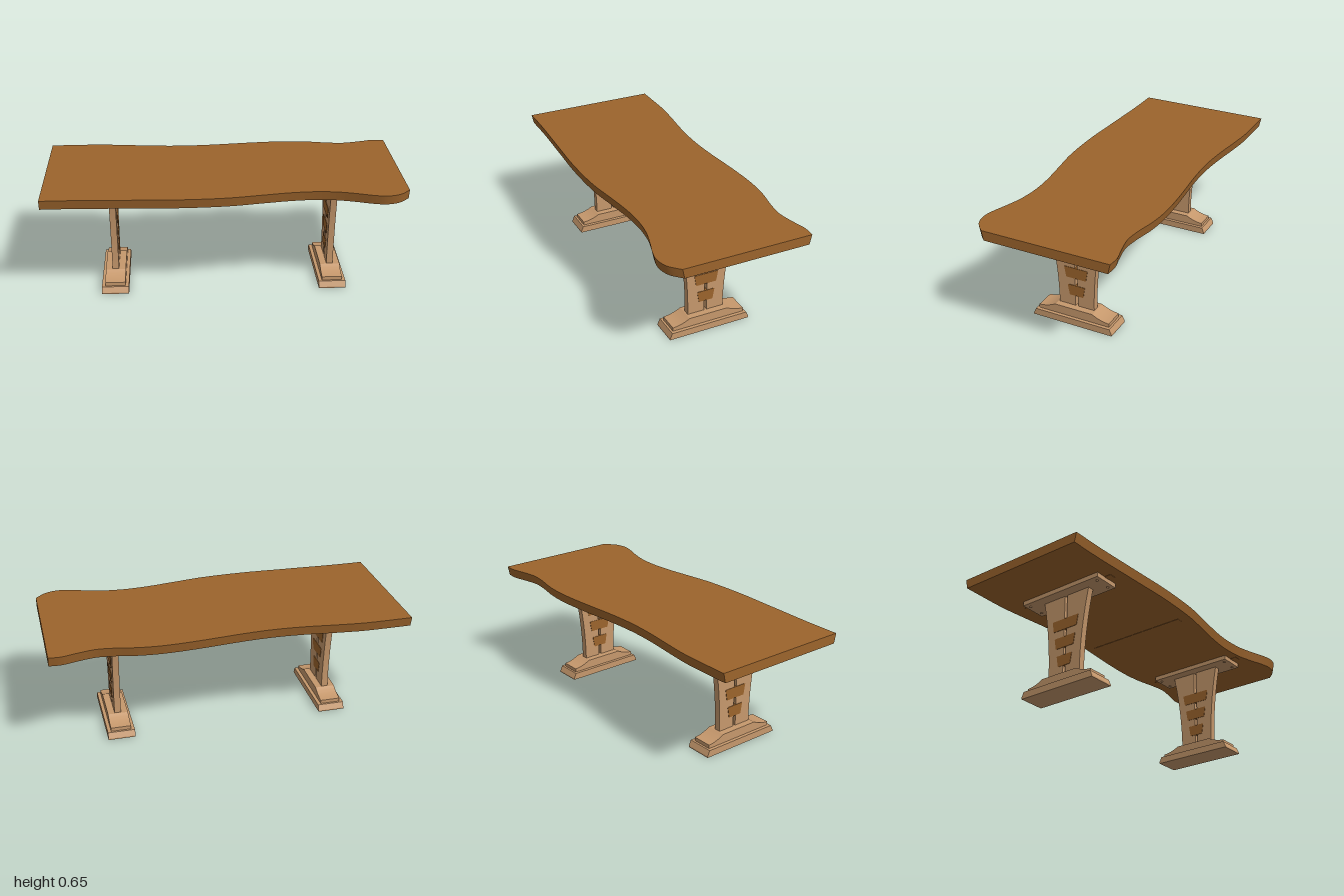
import * as THREE from 'three';
import { toCreasedNormals } from 'three/addons/utils/BufferGeometryUtils.js';

const paleWood = new THREE.MeshStandardMaterial({ name: 'paleWood', color: 0xc6986c });
const brownWood = new THREE.MeshStandardMaterial({ name: 'brownWood', color: 0x9c642c });

const V = (x, y) => new THREE.Vector2(x, y);

function addMesh(parent, name, geometry, material) {
  const mesh = new THREE.Mesh(geometry, material);
  mesh.name = name;
  parent.add(mesh);
  return mesh;
}

// Extrudes a side profile (z, y) along x, centred on x = 0
function extrudeAlongX(points, width) {
  const geo = new THREE.ExtrudeGeometry(new THREE.Shape(points), { depth: width, bevelEnabled: false });
  geo.translate(0, 0, -width / 2).rotateY(-Math.PI / 2);
  return toCreasedNormals(geo, 0.4);
}

// Completes half a profile by mirroring it
const mirrored = (half) => [...half, ...half.map((p) => V(-p.x, p.y)).reverse()];

// Wavy slab whose long edges slope inward towards the underside
function tabletopGeometry() {
  const front = [[-1, 0.375], [-0.8, 0.376], [-0.5, 0.388], [-0.25, 0.397], [0, 0.389], [0.2, 0.361],
    [0.35, 0.34], [0.48, 0.333], [0.6, 0.343], [0.7, 0.368], [0.8, 0.4], [0.87, 0.41], [0.94, 0.391], [1, 0.337]];
  const back = [[-1, -0.415], [-0.75, -0.415], [-0.6, -0.403], [-0.4, -0.38], [-0.23, -0.37], [-0.05, -0.376],
    [0.2, -0.398], [0.38, -0.406], [0.52, -0.397], [0.65, -0.372], [0.75, -0.363], [0.85, -0.381],
    [0.93, -0.4], [1, -0.397]];
  const edge = (list) => new THREE.SplineCurve(list.map(([x, z]) => V(x, -z))).getPoints(78);
  const outline = [...edge(front), ...edge(back).reverse()];
  const geo = new THREE.ExtrudeGeometry(new THREE.Shape(outline), { depth: 0.055, bevelEnabled: false });
  geo.rotateX(-Math.PI / 2);
  const pos = geo.attributes.position;
  for (let i = 0; i < pos.count; i++) {
    if (pos.getY(i) < 0.01) pos.setZ(i, pos.getZ(i) - Math.sign(pos.getZ(i)) * 0.012);
  }
  geo.translate(0, 0.6, 0);
  return toCreasedNormals(geo, 0.5);
}

function createPedestal() {
  const leg = new THREE.Group();

  // Stepped foot
  addMesh(leg, 'footBase', extrudeAlongX(mirrored(
    [V(0.242, 0), V(0.242, 0.008), V(0.228, 0.039)]), 0.154), paleWood);
  const sweep = new THREE.QuadraticBezierCurve(V(0.216, 0.06), V(0.165, 0.062), V(0.115, 0.09)).getPoints(12);
  addMesh(leg, 'footBlock', extrudeAlongX(mirrored([V(0.216, 0.039), ...sweep]), 0.115), paleWood);

  // Two flared uprights with a narrow gap
  const flare = new THREE.QuadraticBezierCurve(V(0.107, 0.089), V(0.107, 0.33), V(0.158, 0.576)).getPoints(20);
  for (const side of [-1, 1]) {
    const half = [V(0.008, 0.089), ...flare, V(0.008, 0.576)].map((p) => V(p.x * side, p.y));
    addMesh(leg, 'upright', extrudeAlongX(half, 0.037), paleWood);
  }

  // Tapered keys bridging the gap
  [[0.153, 0.052], [0.262, 0.071], [0.37, 0.09]].forEach(([y, w]) => {
    addMesh(leg, 'key', extrudeAlongX(mirrored(
      [V(w - 0.013, y), V(w - 0.01, y + 0.003), V(w, y + 0.061), V(w - 0.003, y + 0.064)]), 0.042), brownWood);
  });

  // Mounting plate and its bolts
  const plate = addMesh(leg, 'mountingPlate', new THREE.BoxGeometry(0.154, 0.026, 0.532), paleWood);
  plate.position.y = 0.587;
  for (const x of [-0.045, 0.045]) for (const z of [-0.239, 0.239]) {
    const bolt = addMesh(leg, 'bolt', new THREE.SphereGeometry(0.008, 12, 8), paleWood);
    bolt.position.set(x, 0.575, z);
  }
  return leg;
}

export function createModel() {
  const table = new THREE.Group();
  table.name = 'table';
  addMesh(table, 'tabletop', tabletopGeometry(), brownWood);

  // Stiffening strips under the top
  for (const x of [-0.625, 0, 0.625]) {
    const strip = addMesh(table, 'stiffeningStrip', new THREE.BoxGeometry(0.04, 0.004, 0.62), brownWood);
    strip.position.set(x, 0.6, 0);
  }

  for (const [name, x] of [['rightPedestal', -0.627], ['leftPedestal', 0.621]]) {
    const leg = createPedestal();
    leg.name = name;
    leg.position.set(x, 0, 0.004);
    table.add(leg);
  }
  return table;
}
